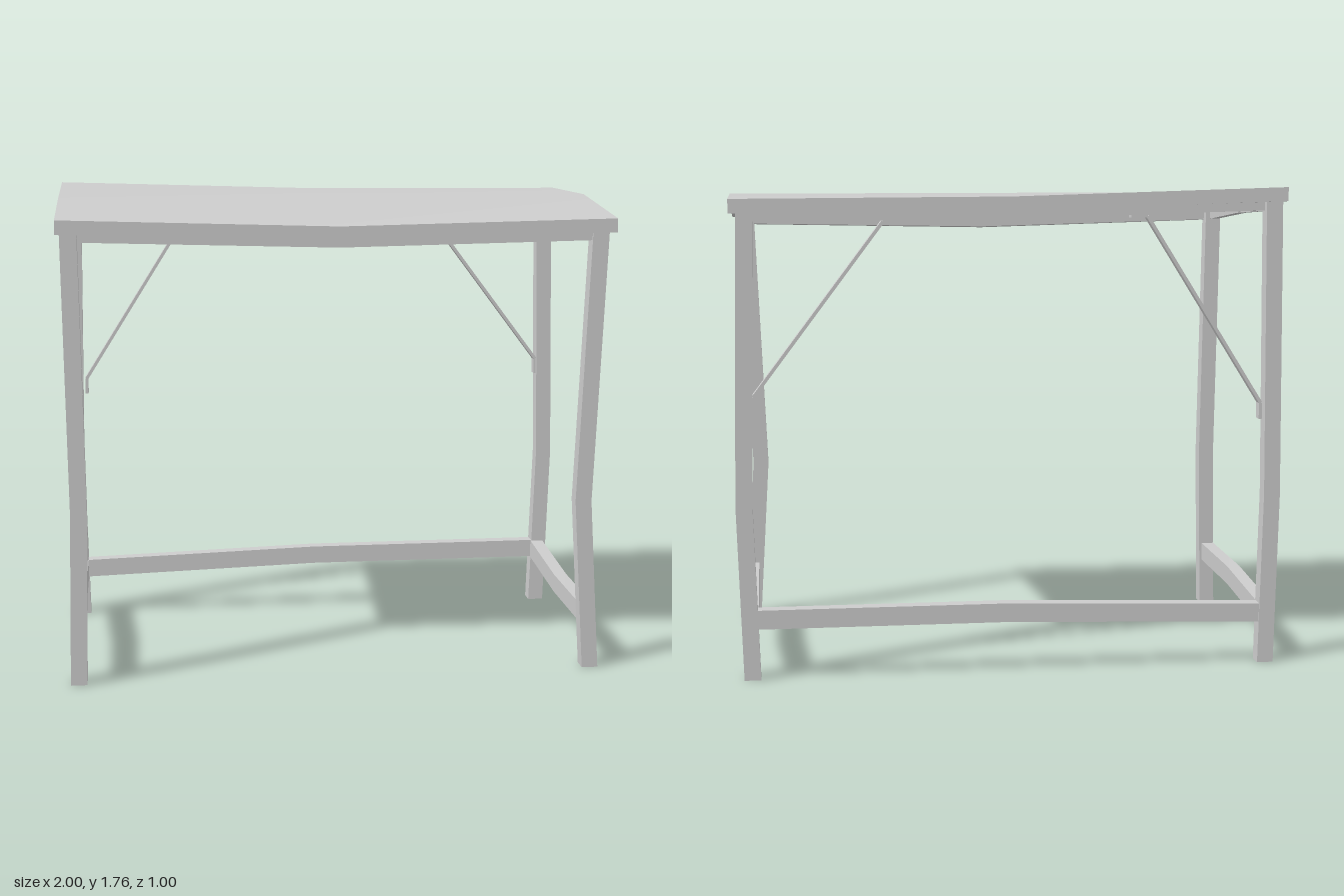
import * as THREE from 'three';

const material = new THREE.MeshStandardMaterial({ color: 0xcccccc });

// Sagging tabletop: heights at front, middle and back rows for x = -1, 0, 1
const front = [1.69, 1.66, 1.68], middle = [1.735, 1.735, 1.735], back = [1.765, 1.735, 1.73];
const bend = ([a, b, c], t) => (t < 0 ? b + (a - b) * -t : b + (c - b) * t);
const topHeight = (x, z) => bend([bend(back, x), bend(middle, x), bend(front, x)], z * 2);

// Box with segments whose vertices are moved by a rule
function warpedBox(name, size, segments, rule) {
  const geometry = new THREE.BoxGeometry(...size, ...segments);
  const pos = geometry.attributes.position;
  const v = new THREE.Vector3();
  for (let i = 0; i < pos.count; i++) {
    rule(v.fromBufferAttribute(pos, i));
    pos.setXYZ(i, v.x, v.y, v.z);
  }
  geometry.computeVertexNormals();
  const mesh = new THREE.Mesh(geometry, material);
  mesh.name = name;
  return mesh;
}

// Flat metal strap with bent tabs at both ends, on the inside of a back leg
function makeBrace(name, legX, legY, topX) {
  const inward = Math.sign(topX - legX);
  const topY = topHeight(topX, -0.455) - 0.085;
  const path = [[legX, legY - 0.06], [legX, legY], [topX, topY], [topX + inward * 0.06, topY]];
  const group = new THREE.Group();
  group.name = name;
  for (let i = 0; i < 3; i++) {
    const [x0, y0] = path[i], [x1, y1] = path[i + 1];
    const strap = new THREE.Mesh(
      new THREE.BoxGeometry(Math.hypot(x1 - x0, y1 - y0), 0.012, 0.04), material);
    strap.name = i === 1 ? 'braceStrap' : 'braceTab';
    strap.position.set((x0 + x1) / 2, (y0 + y1) / 2, -0.455);
    strap.rotation.z = Math.atan2(y1 - y0, x1 - x0);
    group.add(strap);
  }
  return group;
}

export function createModel() {
  const model = new THREE.Group();
  model.name = 'table';
  const slab = 0.05, legZ = 0.455, legX = { 1: 0.945, [-1]: -0.955 };

  model.add(warpedBox('tabletop', [2, slab, 1], [2, 1, 2], (v) => {
    v.y += topHeight(v.x, v.z) - slab / 2;
  }));

  // Legs, each bowed sideways at its knee
  const bow = { '1,1': -0.04, '1,-1': 0.02, '-1,1': 0.013, '-1,-1': -0.013 };
  for (const sx of [1, -1]) for (const sz of [1, -1]) {
    const name = (sz > 0 ? 'front' : 'back') + (sx > 0 ? 'Left' : 'Right') + 'Leg';
    model.add(warpedBox(name, [0.06, 2, 0.06], [1, 2, 1], (v) => {
      const level = Math.round(v.y);
      v.x += legX[sx] + (level === 0 ? bow[`${sx},${sz}`] : 0);
      v.z += sz * legZ;
      v.y = level < 0 ? 0 : level === 0 ? 0.64 : topHeight(v.x, v.z) - slab;
    }));
  }

  // Apron frame following the underside of the top
  const drop = (v) => { v.y += topHeight(v.x, v.z) - slab - 0.015; };
  for (const s of [1, -1]) {
    model.add(warpedBox(s > 0 ? 'frontApron' : 'backApron', [1.84, 0.03, 0.035], [2, 1, 1], (v) => {
      v.z += s * 0.46;
      drop(v);
    }));
    model.add(warpedBox(s > 0 ? 'leftApron' : 'rightApron', [0.035, 0.03, 0.85], [1, 1, 2], (v) => {
      v.x += s > 0 ? 0.95 : -0.96;
      drop(v);
    }));
  }

  // Low stretchers, kinked at mid length
  model.add(warpedBox('backStretcher', [1.86, 0.07, 0.05], [2, 1, 1], (v) => {
    v.y += bend([0.19, 0.22, 0.222], v.x / 0.93);
    v.z -= legZ;
  }));
  for (const s of [1, -1]) {
    const levels = s > 0 ? [0.22, 0.19, 0.19] : [0.19, 0.22, 0.22];
    model.add(warpedBox(s > 0 ? 'leftStretcher' : 'rightStretcher', [0.05, 0.07, 0.86], [1, 1, 2], (v) => {
      v.y += bend(levels, v.z / 0.43);
      v.x += legX[s];
    }));
  }

  model.add(makeBrace('leftBrace', 0.925, 1.03, 0.46));
  model.add(makeBrace('rightBrace', -0.92, 0.98, -0.49));
  return model;
}
